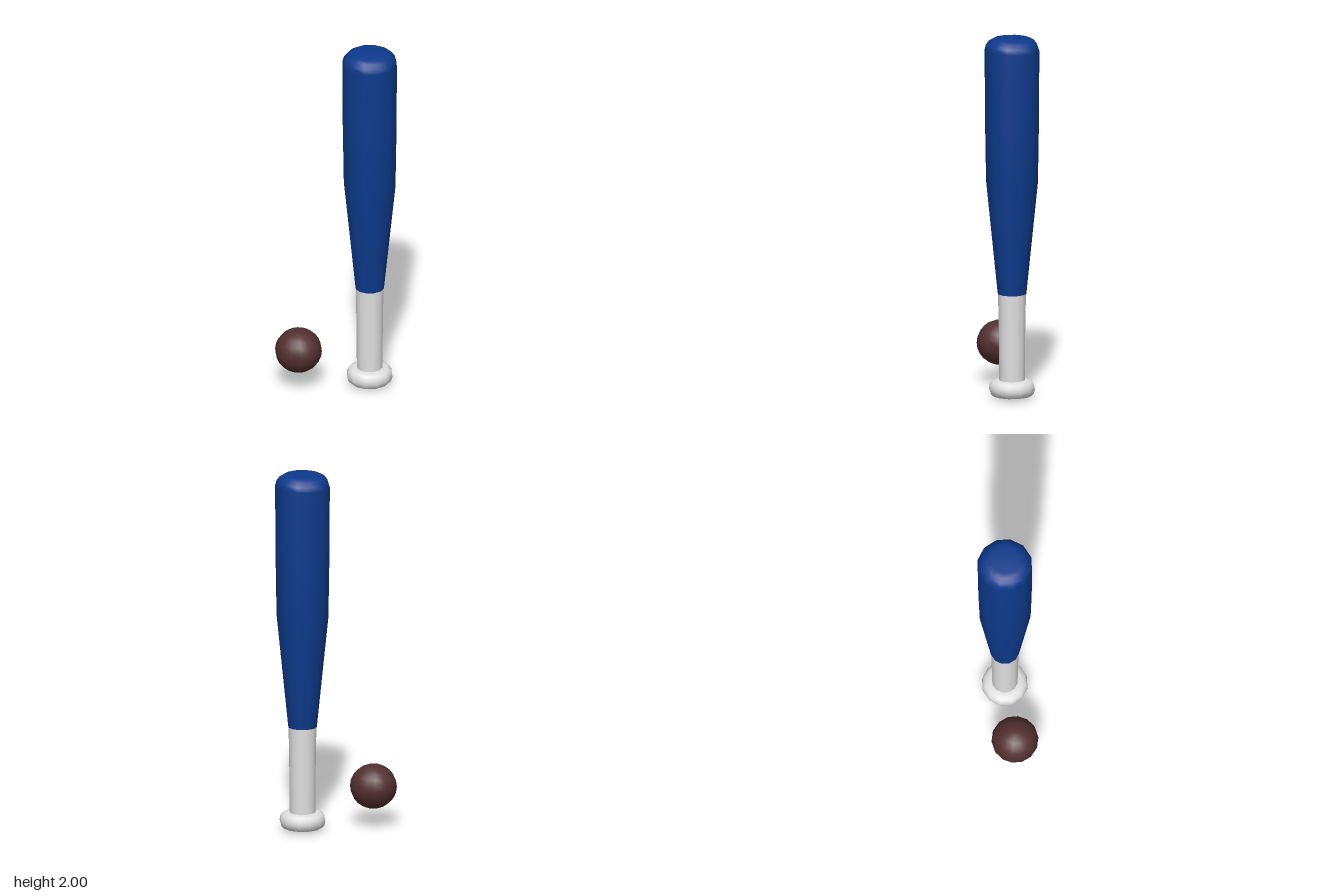
import * as THREE from 'three';

const paint = (name, color) => {
  const m = new THREE.MeshStandardMaterial({ color });
  m.name = name;
  return m;
};

// Twelve-sided turned part from [radius, height] pairs, bottom to top
function turned(name, material, profile) {
  const points = profile.map(([r, y]) => new THREE.Vector2(r, y));
  const mesh = new THREE.Mesh(new THREE.LatheGeometry(points, 12), material);
  mesh.name = name;
  return mesh;
}

export function createModel() {
  const blue = paint('barrelBlue', 0x0d3a8c);
  const white = paint('gripWhite', 0xe0e0e0);
  const brown = paint('ballBrown', 0x522f2f);

  const model = new THREE.Group();
  model.name = 'batAndBall';

  const bat = new THREE.Group();
  bat.name = 'bat';
  bat.position.set(0.18, 0, 0.02);
  bat.add(
    // Knob: shallow base and rounded rim
    turned('knobBase', white, [[0, 0], [0.105, 0.015]]),
    turned('knob', white, [[0.105, 0.015], [0.12, 0.029], [0.126, 0.05], [0.124, 0.072], [0.114, 0.091], [0.094, 0.1], [0.07, 0.102]]),
    turned('grip', white, [[0.071, 0.095], [0.073, 0.35], [0.077, 0.58]]),
    // Barrel: taper, straight length and rounded end
    turned('barrel', blue, [
      [0.079, 0.58], [0.143, 1.2], [0.149, 1.55], [0.151, 1.93],
      [0.143, 1.957], [0.126, 1.98], [0.102, 1.994], [0.072, 1.999], [0, 2],
    ]),
  );
  // Closes the lower end of the barrel around the grip
  bat.add(turned('barrelEnd', blue, [[0, 0.58], [0.079, 0.58]]));
  model.add(bat);

  // Ball, slightly flattened
  const ball = new THREE.Mesh(new THREE.SphereGeometry(0.128, 14, 12), brown);
  ball.name = 'ball';
  ball.scale.y = 0.96;
  ball.position.set(-0.204, 0.229, -0.049);
  model.add(ball);

  return model;
}
